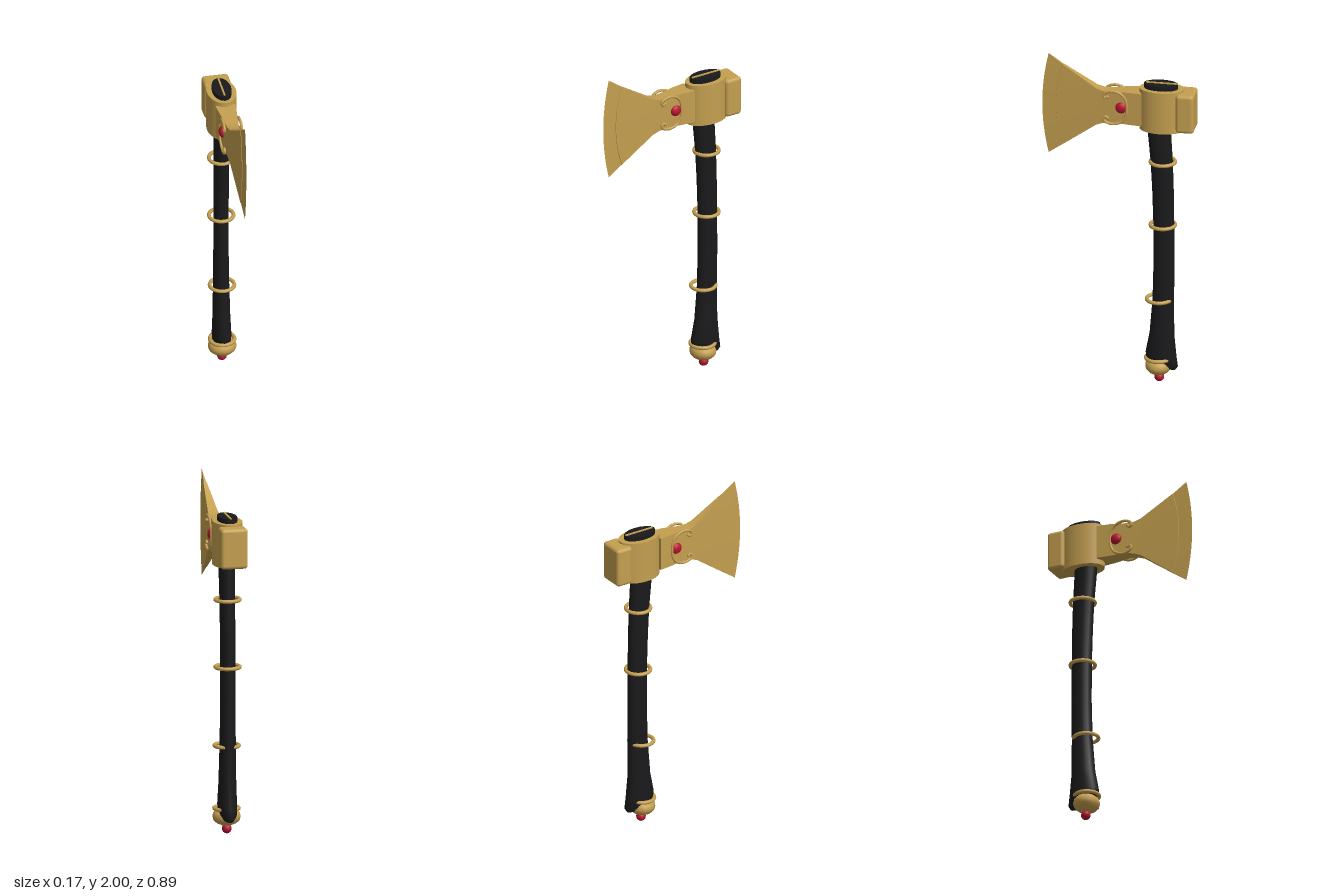
import * as THREE from 'three';
import { toCreasedNormals } from 'three/addons/utils/BufferGeometryUtils.js';
import { RoundedBoxGeometry } from 'three/addons/geometries/RoundedBoxGeometry.js';

const gold = new THREE.MeshStandardMaterial({ color: 0xc49f50 });
const black = new THREE.MeshStandardMaterial({ color: 0x1a1a1c });
const red = new THREE.MeshStandardMaterial({ color: 0xb8152f });

// Skin a list of closed loops (arrays of [x, y, z]) of equal length
function loft(loops, crease) {
  const n = loops[0].length, index = [];
  for (let i = 0; i < loops.length - 1; i++) {
    for (let j = 0; j < n; j++) {
      const a = i * n + j, b = i * n + (j + 1) % n;
      index.push(a, b, a + n, b, b + n, a + n);
    }
  }
  const geo = new THREE.BufferGeometry();
  geo.setAttribute('position', new THREE.Float32BufferAttribute(loops.flat(2), 3));
  geo.setIndex(index);
  return toCreasedNormals(geo, crease);
}

export function createModel() {
  const model = new THREE.Group();
  const add = (name, geo, mat, x = 0, y = 0, z = 0) => {
    const mesh = new THREE.Mesh(geo, mat);
    mesh.name = name;
    mesh.position.set(x, y, z);
    model.add(mesh);
    return mesh;
  };

  // Handle: oval sections [y, centre z, half x, half z, tilt]
  const handleSections = [
    [0.095, -0.26, 0, 0, 0.3],
    [0.1, -0.26, 0.036, 0.07, 0.3],
    [0.125, -0.25, 0.052, 0.093, 0.28],
    [0.17, -0.245, 0.055, 0.09, 0.12],
    [0.3, -0.25, 0.05, 0.072, 0],
    [0.51, -0.258, 0.046, 0.063, 0],
    [0.75, -0.262, 0.043, 0.061, 0],
    [0.98, -0.261, 0.043, 0.061, 0],
    [1.2, -0.256, 0.043, 0.063, 0],
    [1.37, -0.249, 0.044, 0.065, 0],
    [1.6, -0.232, 0.047, 0.069, 0],
  ];
  add('handle', loft(handleSections.map(([y, zc, rx, rz, tilt]) =>
    Array.from({ length: 20 }, (_, k) => {
      const a = k / 20 * Math.PI * 2, dz = -rz * Math.sin(a);
      return [rx * Math.cos(a), y + tilt * dz, zc + dz];
    })), 1.0), black);

  // Rings around the handle [y, z]
  for (const [y, z] of [[0.147, -0.228], [0.515, -0.233], [0.98, -0.255], [1.375, -0.255]]) {
    add('handleRing', new THREE.TorusGeometry(0.071, 0.011, 10, 32).rotateX(Math.PI / 2), gold, 0, y, z);
  }

  // Pommel and its gem
  add('pommel', new THREE.SphereGeometry(0.083, 16, 8).scale(1, 0.66, 0.93), gold, 0, 0.1, -0.23);
  add('pommelGem', new THREE.SphereGeometry(0.028, 16, 12), red, 0, 0.028, -0.235);

  // Oval collar, dark handle end and wedge on top
  const oval = (rx, rz, h, n) => new THREE.CylinderGeometry(1, 1, h, n).scale(rx, 1, rz);
  add('collar', oval(0.085, 0.13, 0.255, 24), gold, 0, 1.7075, -0.25);
  add('handleEnd', oval(0.055, 0.1, 0.06, 16), black, 0, 1.832, -0.245);
  add('wedge', new THREE.BoxGeometry(0.01, 0.03, 0.185), gold, 0, 1.853, -0.25);

  // Hammer block at the back
  add('hammerBlock', new RoundedBoxGeometry(0.158, 0.236, 0.106, 3, 0.02), gold, 0, 1.707, -0.394);

  // Blade: sections [z at corners, bulge, centre y, half height, half thickness]
  const bladeSections = [
    [-0.138, 0, 1.71, 0, 0],
    [-0.138, 0, 1.71, 0.1, 0.059],
    [-0.06, 0, 1.71, 0.1, 0.05],
    [0.03, 0, 1.707, 0.094, 0.04],
    [0.09, 0, 1.702, 0.1, 0.033],
    [0.13, 0.005, 1.7, 0.115, 0.0285],
    [0.326, 0.04, 1.69, 0.249, 0.01],
    [0.327, 0.04, 1.69, 0.25, 0.007],
    [0.41, 0.037, 1.69, 0.31, 0.0005],
  ];
  const steps = 16;
  add('blade', loft(bladeSections.map(([z, bulge, yc, h, w]) => {
    const side = (x) => Array.from({ length: steps + 1 }, (_, k) => {
      const t = k / steps * 2 - 1;
      return [x, yc + t * h, z + bulge * (1 - t * t)];
    });
    return [...side(w), ...side(-w).reverse()];
  }), 0.5), gold);

  // Gem and scroll on each cheek of the blade; half the scroll is mirrored in y
  const half = [[0.058, 0.066], [0.068, 0.058], [0.08, 0.067], [0.076, 0.085],
    [0.045, 0.1], [0.005, 0.098], [-0.03, 0.078], [-0.05, 0.042]];
  const path = [...half, [-0.054, 0], ...half.map(([z, y]) => [z, -y]).reverse()];
  const curve = new THREE.CatmullRomCurve3(path.map(([z, y]) => new THREE.Vector3(0, y, z)));
  for (const s of [-1, 1]) {
    add('bladeGem', new THREE.SphereGeometry(0.034, 20, 14).scale(0.65, 1, 1), red, s * 0.042, 1.71, -0.02);
    add('scroll', new THREE.TubeGeometry(curve, 80, 0.008, 8), gold, s * 0.05, 1.71, 0);
    for (const v of [-1, 1]) {
      add('scrollTip', new THREE.SphereGeometry(0.009, 10, 8), gold, s * 0.05, 1.71 + v * 0.066, 0.058);
    }
  }
  return model;
}
